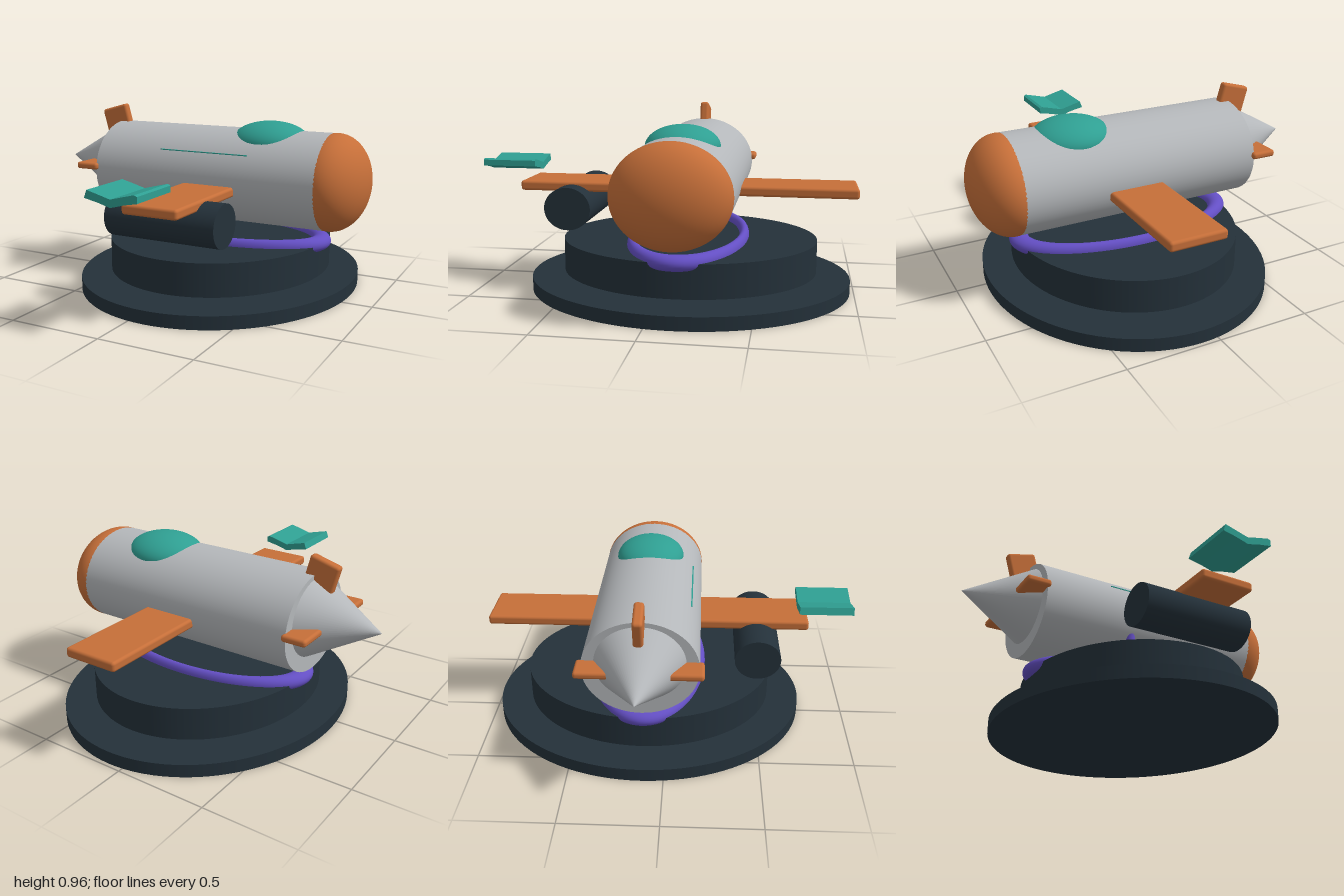
import * as THREE from 'three';
import { RoundedBoxGeometry } from 'three/addons/geometries/RoundedBoxGeometry.js';

const material = (name, color) => {
  const m = new THREE.MeshStandardMaterial({ color });
  m.name = name;
  return m;
};

export function createModel() {
  const grey = material('hull grey', 0xb4b7ba);
  const orange = material('trim orange', 0xc66f39);
  const teal = material('glass teal', 0x2f9f92);
  const purple = material('gear purple', 0x644fc4);
  const dark = material('base dark', 0x24313a);

  const model = new THREE.Group();
  const Z = -0.115; // centre line of the fuselage and base
  const CX = 0.0875; // centre of the base

  const add = (name, geometry, mat, x, y, z) => {
    const mesh = new THREE.Mesh(geometry, mat);
    mesh.name = name;
    mesh.position.set(x, y, z);
    model.add(mesh);
    return mesh;
  };
  const roundedBox = (w, h, d, r = 0.015) => new RoundedBoxGeometry(w, h, d, 3, r);
  // Cylinder lying along x with an oval section; r0 is the radius at the +x end
  const lying = (r0, r1, length, ry, rz) =>
    new THREE.CylinderGeometry(r0, r1, length, 64).rotateZ(-Math.PI / 2).scale(1, ry, rz);

  // Stand: two stacked oval discs
  add('basePlate', new THREE.CylinderGeometry(1, 1, 0.07, 96).scale(0.758, 1, 0.865), dark, CX, 0.035, Z);
  add('baseDrum', new THREE.CylinderGeometry(1, 1, 0.175, 96).scale(0.598, 1, 0.687), dark, CX, 0.1875, Z);

  // Oval ring resting on the drum
  add('standRing', new THREE.TorusGeometry(0.585, 0.052, 24, 96).rotateX(Math.PI / 2)
    .scale(1, 0.77, 0.505), purple, CX, 0.275, Z);

  // Fuselage
  add('fuselage', lying(1, 1, 1.305, 0.257, 0.293), grey, 0.0875, 0.607, Z);
  add('tailCone', lying(0, 1, 0.365, 0.205, 0.228).rotateY(Math.PI), grey, -0.7475, 0.635, Z);
  add('noseCap', new THREE.SphereGeometry(1, 64, 40).scale(0.187, 0.258, 0.294), orange, 0.738, 0.607, Z);
  add('canopy', new THREE.SphereGeometry(1, 48, 32).scale(0.215, 0.11, 0.19), teal, 0.376, 0.8, Z - 0.003);
  add('sideStripe', new THREE.BoxGeometry(0.515, 0.005, 0.008), teal, 0.0875, 0.752, 0.128);

  // Wing and tail fins
  add('wing', roundedBox(0.302, 0.052, 1.77), orange, 0.139, 0.562, Z);
  add('tailplane', roundedBox(0.135, 0.037, 0.63), orange, -0.618, 0.633, Z);
  add('tailFin', roundedBox(0.165, 0.2, 0.05), orange, -0.592, 0.848, Z).rotation.z = 0.27;

  // Engine pod under the left wing
  add('enginePod', lying(1, 1, 0.615, 0.112, 0.123), dark, 0.0875, 0.462, 0.486);

  // Landing gear: struts with wheels let into the drum
  for (const x of [-0.045, 0.22]) {
    add('gearStrut', new THREE.CylinderGeometry(0.027, 0.027, 0.36, 24), purple, x, 0.34, 0.118);
    add('wheel', new THREE.TorusGeometry(0.066, 0.032, 16, 40).rotateY(Math.PI / 2), dark, x, 0.163, 0.118);
  }

  // Bent plate floating past the left wing tip
  const bent = new THREE.Shape();
  bent.moveTo(-0.139, 0);
  bent.lineTo(-0.125, 0.038);
  bent.lineTo(-0.065, 0.023);
  bent.lineTo(0, 0.006);
  bent.lineTo(0.065, 0.023);
  bent.lineTo(0.125, 0.038);
  bent.lineTo(0.139, 0.031);
  bent.lineTo(0.139, 0);
  bent.lineTo(0.07, -0.013);
  bent.lineTo(0, -0.032);
  bent.lineTo(-0.07, -0.013);
  bent.closePath();
  add('bentPlate', new THREE.ExtrudeGeometry(bent, { depth: 0.29, bevelEnabled: false }), teal, 0.0875, 0.656, 0.71);

  return model;
}
